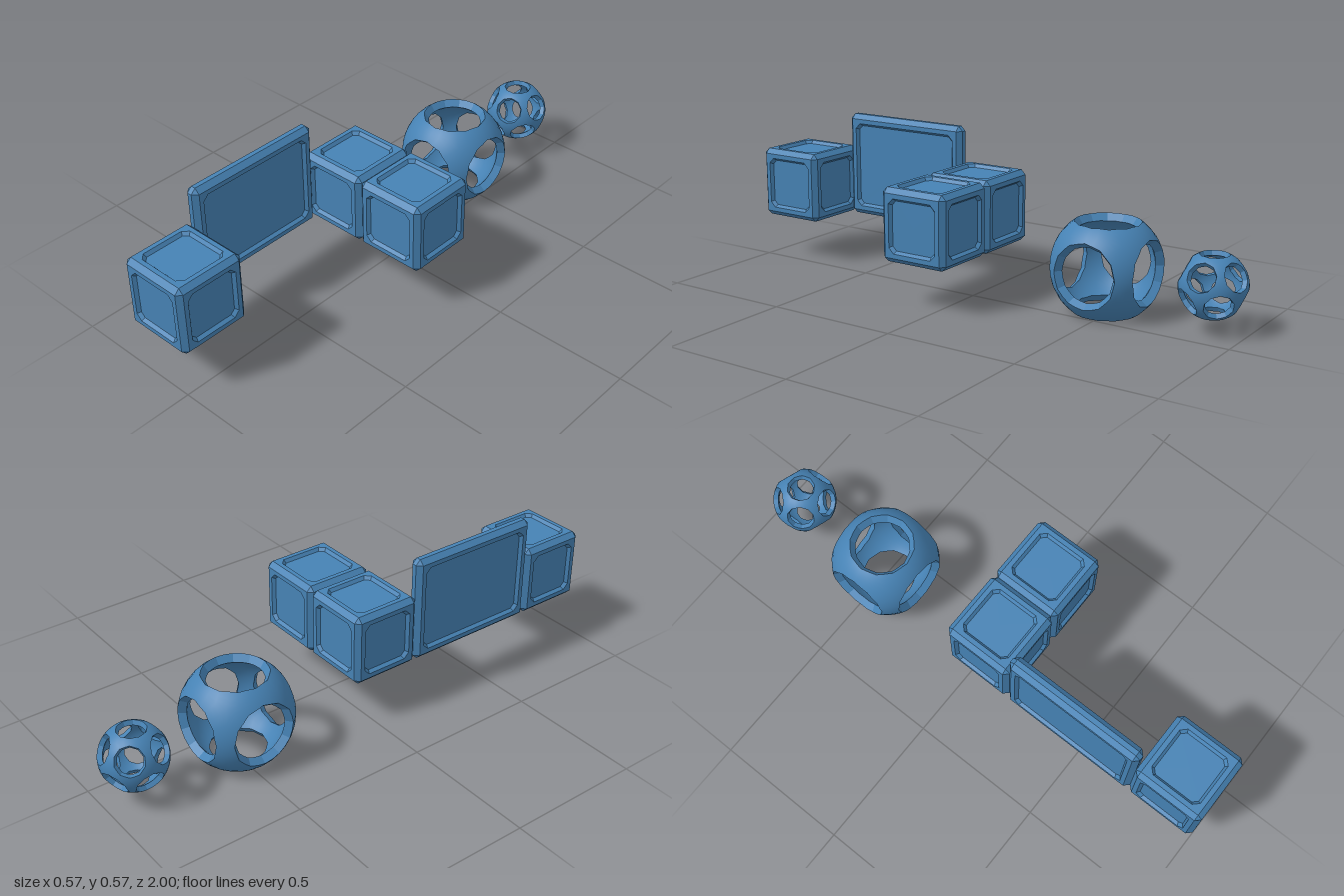
import * as THREE from 'three';
import { mergeGeometries } from 'three/addons/utils/BufferGeometryUtils.js';

const material = new THREE.MeshStandardMaterial({ color: 0x4682b4 });

// Chamfered box; faces across the listed axes (0 x, 1 y, 2 z) get a sunken panel
function panelBox(size, sunkAxes) {
  const c = 0.018, inset = 0.035, cut = 0.02, slope = 0.009, depth = 0.012;
  const positions = [];
  for (let axis = 0; axis < 3; axis++) for (const side of [1, -1]) {
    let u = (axis + 1) % 3, v = (axis + 2) % 3;
    if (side < 0) [u, v] = [v, u];
    const hu = size[u] / 2, hv = size[v] / 2, hn = size[axis] / 2;
    const point = (x, y, drop) => {
      const p = [0, 0, 0];
      p[u] = x; p[v] = y; p[axis] = side * (hn - drop);
      return p;
    };
    // Three points per corner, each [inset in u, inset in v, drop], counter-clockwise
    const loop = (first, middle, last) => {
      const pts = [];
      for (const [su, sv] of [[1, 1], [-1, 1], [-1, -1], [1, -1]]) {
        const trio = [first, middle, last];
        if (su * sv < 0) trio.reverse();
        for (const [a, b, d] of trio) pts.push(point(su * (hu - a), sv * (hv - b), d));
      }
      return pts;
    };
    const octagon = (i, k, d) => loop([i, i + k, d], [i + k / 2, i + k / 2, d], [i + k, i, d]);
    const t = 2 * c / 3;
    const loops = [loop([c / 2, c, c / 2], [t, t, t], [c, c / 2, c / 2]), octagon(c, 0, 0)];
    const sunk = sunkAxes.includes(axis);
    if (sunk) loops.push(octagon(inset, cut, 0), octagon(inset + slope, cut - 0.004, depth));
    const centre = point(0, 0, sunk ? depth : 0);
    loops.push(Array(12).fill(centre));
    for (let i = 0; i + 1 < loops.length; i++) for (let j = 0; j < 12; j++) {
      const k = (j + 1) % 12;
      const a = loops[i][j], b = loops[i][k], e = loops[i + 1][k], d = loops[i + 1][j];
      positions.push(...a, ...b, ...e, ...a, ...e, ...d);
    }
  }
  const geo = new THREE.BufferGeometry();
  geo.setAttribute('position', new THREE.Float32BufferAttribute(positions, 3));
  geo.computeVertexNormals();
  return geo;
}

// Angle from the centre of a spherical polygon to its rim, with mid-side angle `half`
function rimAngle(half, phi, sides, offset) {
  const step = 2 * Math.PI / sides;
  const local = phi - offset - step * Math.round((phi - offset) / step);
  return Math.atan(Math.tan(half) / Math.cos(local));
}

// Grid of points; normalSign 1 / -1 gives sphere normals, 0 gives flat ones
function gridSurface(rows, cols, at, normalSign) {
  const positions = [], index = [];
  for (let i = 0; i <= rows; i++) for (let j = 0; j <= cols; j++) {
    positions.push(...at(i / rows, j).toArray());
    if (i < rows && j < cols) {
      const a = i * (cols + 1) + j, b = a + cols + 1;
      index.push(a, b, b + 1, a, b + 1, a + 1);
    }
  }
  let geo = new THREE.BufferGeometry();
  geo.setAttribute('position', new THREE.Float32BufferAttribute(positions, 3));
  geo.setIndex(index);
  geo = geo.toNonIndexed();
  geo.computeVertexNormals();
  if (normalSign) {
    const p = geo.attributes.position, n = geo.attributes.normal, q = new THREE.Vector3();
    for (let i = 0; i < p.count; i++) {
      q.fromBufferAttribute(p, i).normalize().multiplyScalar(normalSign);
      n.setXYZ(i, q.x, q.y, q.z);
    }
  }
  return geo;
}

// Hollow ball with a round hole in each direction; one polygonal cell per hole
function piercedBall(directions, cellSides, holeSides, cols, R, r, holeAngle) {
  const geos = [];
  const nearest = Math.min(...directions.slice(1).map(d => d.angleTo(directions[0])));
  for (const d of directions) {
    const neighbour = directions.find(e => Math.abs(e.angleTo(d) - nearest) < 0.01);
    const u = neighbour.clone().addScaledVector(d, -neighbour.dot(d)).normalize();
    const v = d.clone().cross(u);
    const onSphere = (radius, t, j) => {
      const phi = j / cols * 2 * Math.PI;
      const hole = rimAngle(holeAngle, phi, holeSides, Math.PI / holeSides);
      const a = THREE.MathUtils.lerp(hole, rimAngle(nearest / 2, phi, cellSides, 0), t);
      return d.clone().multiplyScalar(Math.cos(a))
        .addScaledVector(u, Math.sin(a) * Math.cos(phi))
        .addScaledVector(v, Math.sin(a) * Math.sin(phi)).multiplyScalar(radius);
    };
    geos.push(
      gridSurface(3, cols, (t, j) => onSphere(R, t, j), 1),
      gridSurface(3, cols, (t, j) => onSphere(r, 1 - t, j), -1),
      gridSurface(1, cols, (t, j) => onSphere(THREE.MathUtils.lerp(r, R, t), 0, j), 0));
  }
  return mergeGeometries(geos);
}

export function createModel() {
  const group = new THREE.Group();
  const add = (name, geo, x, y, z) => {
    const mesh = new THREE.Mesh(geo, material);
    mesh.name = name;
    mesh.position.set(x, y, z);
    group.add(mesh);
  };

  // Three equal cubes and the upright slab between them
  const cube = panelBox([0.268, 0.268, 0.268], [0, 1, 2]);
  add('cornerCube', cube, -0.121, 0.299, 0.063);
  add('sideCube', cube, 0.148, 0.299, 0.063);
  add('frontCube', cube, -0.121, 0.299, 0.866);
  add('uprightSlab', panelBox([0.054, 0.402, 0.535], [0]), -0.228, 0.366, 0.465);

  // Large ball with six holes
  const six = [];
  for (let axis = 0; axis < 3; axis++) for (const s of [1, -1])
    six.push(new THREE.Vector3().setComponent(axis, s));
  add('largePiercedBall', piercedBall(six, 4, 12, 24, 0.2, 0.169, 0.615), -0.121, 0.163, -0.482);

  // Small ball with twelve holes: the poles and two staggered rings of five
  const twelve = [new THREE.Vector3(0, 1, 0), new THREE.Vector3(0, -1, 0)];
  for (let i = 0; i < 10; i++) {
    const a = i * Math.PI / 5;
    twelve.push(new THREE.Vector3(2 * Math.cos(a), i % 2 ? -1 : 1, 2 * Math.sin(a)).normalize());
  }
  add('smallPiercedBall', piercedBall(twelve, 5, 10, 20, 0.118, 0.1, 0.43), -0.121, 0.165, -0.882);

  return group;
}
